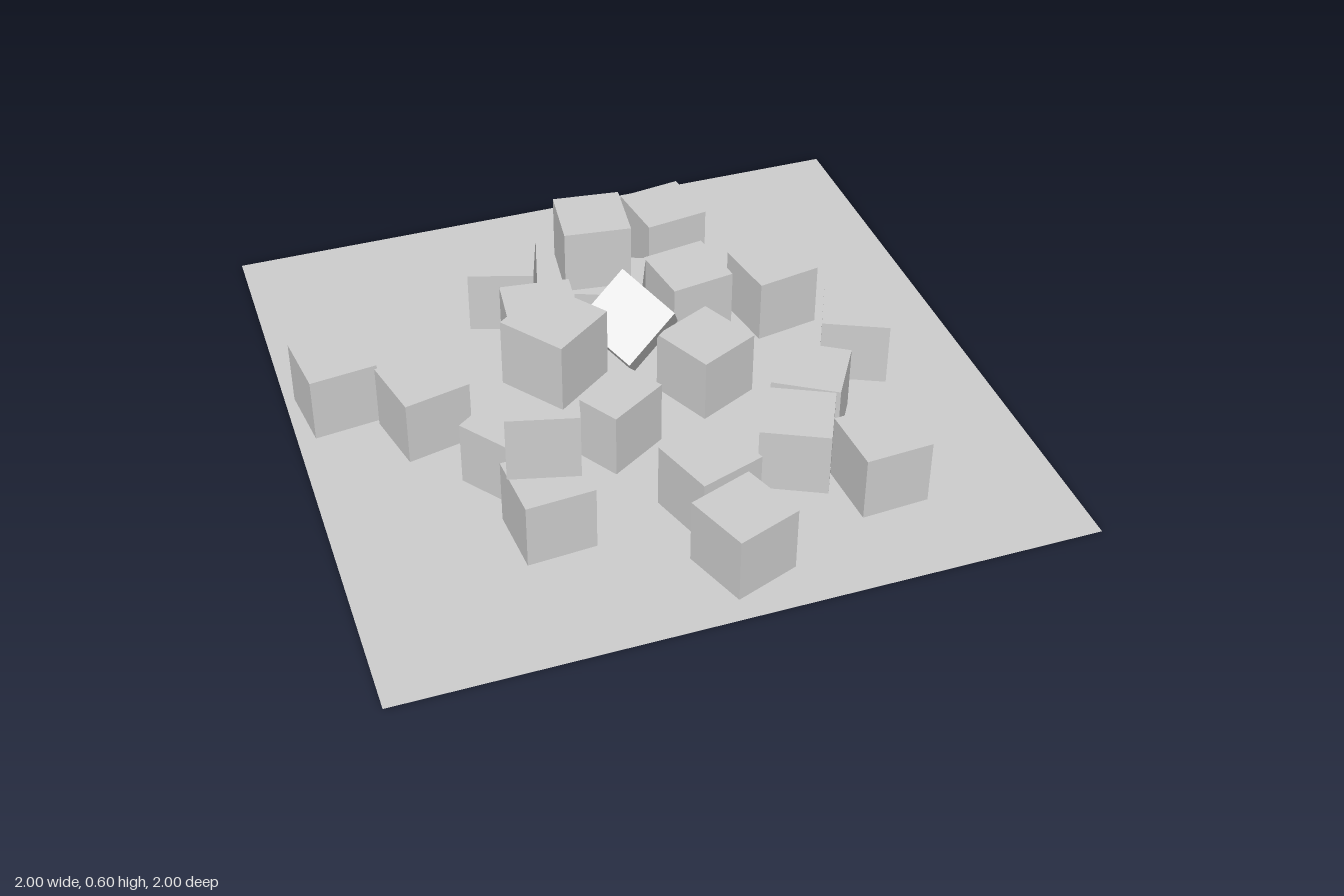
import * as THREE from 'three';

const SIZE = 0.2;

// [x, z, turn about y, stack level]
const BLOCKS = [
  [0.30, -0.62, 0.14, 0], [-0.265, -0.50, -0.32, 0], [0.02, -0.30, -0.40, 0],
  [-0.02, -0.355, -0.125, 1], [0.26, -0.275, 0.15, 0], [0.515, -0.22, 0.17, 0],
  [-0.86, -0.185, 0.12, 0], [-0.64, -0.005, 0.22, 0], [-0.255, -0.01, 0.64, 0],
  [-0.295, 0.03, -0.12, 1], [0.19, 0.07, 0.44, 0], [0.665, 0.08, -0.44, 0],
  [-0.145, 0.215, 0.55, 0], [-0.455, 0.26, 0.63, 0], [-0.41, 0.425, -0.25, 1],
  [-0.35, 0.36, 0.63, 2], [-0.425, 0.52, 0.07, 0], [0.02, 0.565, 0.32, 0],
  [0.03, 0.80, 0.35, 0], [0.425, 0.305, -0.56, 0], [0.31, 0.485, -0.46, 0],
  [0.50, 0.635, 0.06, 0],
];

export function createModel() {
  const group = new THREE.Group();
  group.name = 'scatteredBlocks';

  const stone = new THREE.MeshStandardMaterial({ color: 0xcccccc });
  stone.name = 'light grey';
  // The ground sheet has no thickness, so it shows from both sides
  const sheet = new THREE.MeshStandardMaterial({ color: 0xcccccc, side: THREE.DoubleSide });
  sheet.name = 'light grey sheet';

  // Ground sheet
  const ground = new THREE.Mesh(new THREE.PlaneGeometry(2, 2).rotateX(-Math.PI / 2), sheet);
  ground.name = 'ground';
  group.add(ground);

  // Upright blocks, some stacked two or three high
  const cube = new THREE.BoxGeometry(SIZE, SIZE, SIZE);
  BLOCKS.forEach(([x, z, turn, level], i) => {
    const block = new THREE.Mesh(cube, stone);
    block.name = `block${i + 1}`;
    block.position.set(x, SIZE * (level + 0.5), z);
    block.rotation.y = turn;
    group.add(block);
  });

  // Tumbling block wedged between the others, resting on its corner
  const a = new THREE.Vector3(0.294, -0.684, -0.668).normalize();
  const b = new THREE.Vector3(0.561, -0.449, 0.695);
  b.addScaledVector(a, -a.dot(b)).normalize();
  const c = new THREE.Vector3().crossVectors(a, b);
  const tilted = new THREE.Mesh(cube, stone);
  tilted.name = 'tiltedBlock';
  tilted.quaternion.setFromRotationMatrix(new THREE.Matrix4().makeBasis(a, b, c));
  tilted.position.set(-0.004, 0.205, -0.06);
  group.add(tilted);

  return group;
}
